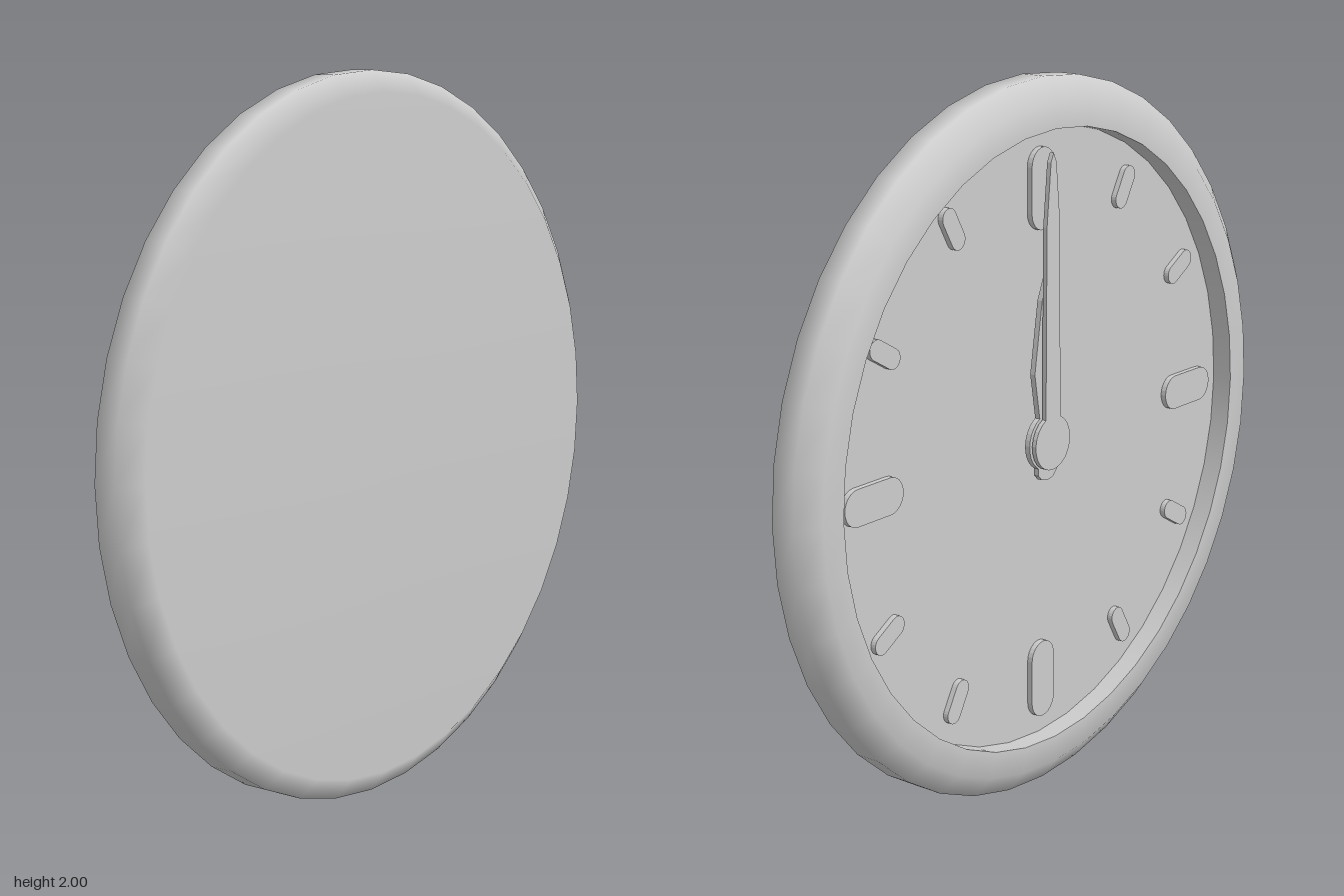
import * as THREE from 'three';

const SIDES = 40;
const OPENING = 0.865;   // radius of the recessed dial
const DIAL_Z = -0.02;    // the dial faces -z

const casing = new THREE.MeshStandardMaterial({ color: 0xcccccc });
casing.name = 'plain grey';

function add(group, name, geometry) {
  const mesh = new THREE.Mesh(geometry, casing);
  mesh.name = name;
  group.add(mesh);
  return mesh;
}

// Profile of [radius, z] turned about the z axis
function turned(profile, sides = SIDES) {
  const points = profile.map(([r, z]) => new THREE.Vector2(r, z));
  return new THREE.LatheGeometry(points, sides).rotateX(Math.PI / 2);
}

// Flat plate whose outer face lies at z = front
function plate(shape, front, depth) {
  return new THREE.ExtrudeGeometry(shape, { depth, bevelEnabled: false, curveSegments: 6 })
    .translate(0, 0, front);
}

// Upright bar with round ends, centred at the given radius
function capsule(radius, length, width) {
  const r = width / 2, h = length / 2 - r;
  const shape = new THREE.Shape();
  shape.absarc(0, radius + h, r, 0, Math.PI);
  shape.absarc(0, radius - h, r, Math.PI, Math.PI * 2);
  shape.closePath();
  return shape;
}

// Mirrored hand outline: tail points, round hub, then blade points up to the tip
function handShape(tail, hubRadius, blade) {
  const side = tail.map(([x, y]) => new THREE.Vector2(x, y));
  const start = tail.length ? -Math.acos(tail[tail.length - 1][0] / hubRadius) : -Math.PI / 2;
  const end = Math.acos(blade[0][0] / hubRadius);
  for (let i = 0; i <= 10; i++) {
    const a = start + (end - start) * i / 10;
    side.push(new THREE.Vector2(Math.cos(a) * hubRadius, Math.sin(a) * hubRadius));
  }
  blade.slice(1).forEach(([x, y]) => side.push(new THREE.Vector2(x, y)));
  const other = side.filter(p => p.x > 1e-6).map(p => new THREE.Vector2(-p.x, p.y)).reverse();
  return new THREE.Shape([...side, ...other]);
}

export function createModel() {
  const model = new THREE.Group();
  model.name = 'wallClock';
  const clock = new THREE.Group();
  clock.name = 'clockBody';
  clock.position.y = 1;
  model.add(clock);

  // Case: softly shaded rim and closed plate, with a crisp recess
  add(clock, 'case', turned([
    [OPENING, -0.08], [0.94, -0.08], [1, -0.035], [1, 0.035], [0.94, 0.08], [0, 0.08],
  ]));
  add(clock, 'recessWall', turned([[OPENING, DIAL_Z], [OPENING, -0.08]]));
  add(clock, 'dial', turned([[0, DIAL_Z], [OPENING, DIAL_Z]]));

  // Hour markers, larger at each quarter
  for (let i = 0; i < 12; i++) {
    const quarter = i % 3 === 0;
    const shape = quarter ? capsule(0.7, 0.225, 0.1) : capsule(0.75, 0.125, 0.055);
    const marker = add(clock, quarter ? 'quarterMarker' : 'hourMarker',
      plate(shape, DIAL_Z - 0.016, 0.018));
    marker.rotation.z = i * Math.PI / 6;
  }

  // Hands, both pointing straight up, on a central pin
  const hourHand = handShape([[0, -0.11], [0.025, -0.105], [0.04, -0.09], [0.04, -0.075]],
    0.08, [[0.035, 0.07], [0.057, 0.2], [0.025, 0.4], [0, 0.46]]);
  add(clock, 'hourHand', plate(hourHand, -0.051, 0.016));
  const minuteHand = handShape([], 0.077, [[0.032, 0.07], [0.029, 0.6], [0.012, 0.775], [0, 0.8]]);
  add(clock, 'minuteHand', plate(minuteHand, -0.07, 0.013));
  add(clock, 'pin', new THREE.CylinderGeometry(0.035, 0.035, 0.045, 16)
    .rotateX(Math.PI / 2).translate(0, 0, -0.0415));

  return model;
}
